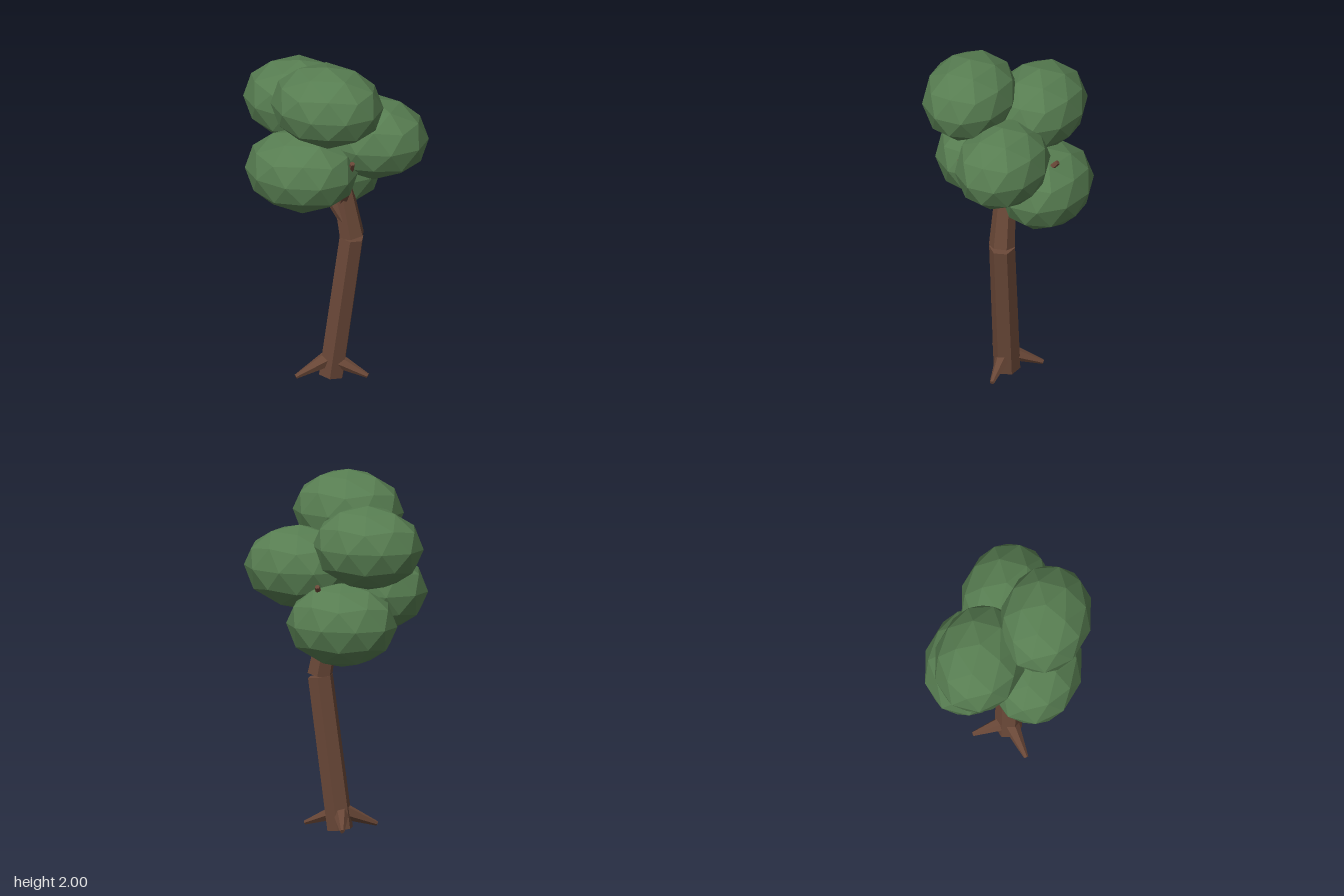
import * as THREE from 'three';

const bark = new THREE.MeshStandardMaterial({ name: 'bark brown', color: 0x694737, flatShading: true });
const leaf = new THREE.MeshStandardMaterial({ name: 'leaf green', color: 0x577d51, flatShading: true });
const UP = new THREE.Vector3(0, 1, 0);

// Tapered faceted limb running between two points
function limb(name, from, to, r0, r1, sides = 6, twist = 0) {
  const a = new THREE.Vector3(...from), b = new THREE.Vector3(...to);
  const dir = b.clone().sub(a);
  const geo = new THREE.CylinderGeometry(r1, r0, dir.length(), sides);
  geo.rotateY(twist);
  const mesh = new THREE.Mesh(geo, bark);
  mesh.name = name;
  mesh.position.copy(a).add(b).multiplyScalar(0.5);
  mesh.quaternion.setFromUnitVectors(UP, dir.normalize());
  return mesh;
}

export function createModel() {
  const tree = new THREE.Group();
  tree.name = 'tree';

  // Trunk in two leaning segments with a kink between them
  tree.add(limb('lowerTrunk', [0, 0.01, -0.006], [0.112, 0.865, -0.026], 0.075, 0.073, 6, 0.26));
  tree.add(limb('upperTrunk', [0.115, 0.875, -0.026], [0.02, 1.38, -0.02], 0.073, 0.05, 6, 0.26));

  // Roots spreading from the base
  const rootTips = [[0.215, 0.03, -0.01], [-0.155, 0.03, 0.14], [-0.1, 0.03, -0.18]];
  for (const [x, y, z] of rootTips) {
    tree.add(limb('root', [x * 0.12, 0.105, z * 0.12], [x, y, z], 0.046, 0.013, 6));
  }

  // Thin branches reaching into the foliage
  const branches = [
    [[0.07, 1.1, 0], [0.2, 1.43, 0.195]],
    [[0.06, 1.12, -0.03], [-0.01, 1.42, -0.31]],
    [[0.08, 0.98, 0.0], [-0.2, 1.42, 0.05]],
  ];
  for (const [from, to] of branches) tree.add(limb('branch', from, to, 0.035, 0.014, 6));

  // Foliage: one faceted ball with a corner at the top, flattened and repeated
  const ball = new THREE.IcosahedronGeometry(1, 1);
  ball.rotateZ(Math.atan(2 / (1 + Math.sqrt(5))));
  ball.scale(0.321, 0.235, 0.256);
  const clumps = [
    [0.05, 1.765, 0.196],
    [-0.105, 1.335, 0.185],
    [-0.223, 1.625, -0.106],
    [0.217, 1.48, -0.075],
    [-0.105, 1.195, -0.196],
  ];
  for (const p of clumps) {
    const mesh = new THREE.Mesh(ball, leaf);
    mesh.name = 'foliage';
    mesh.position.set(...p);
    tree.add(mesh);
  }
  return tree;
}
